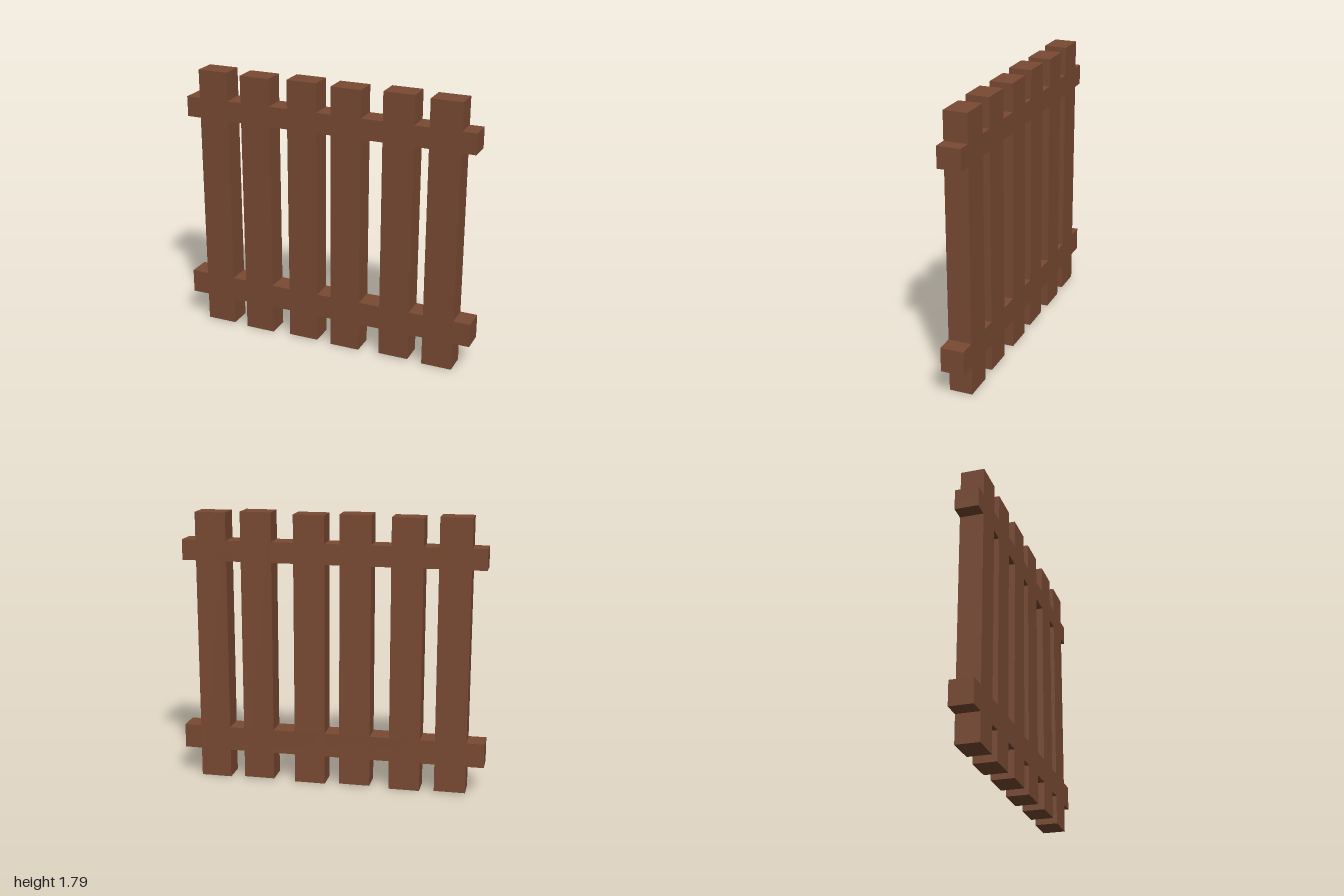
import * as THREE from 'three';

const DEPTH = 0.15;

export function createModel() {
  const fence = new THREE.Group();
  fence.name = 'fence';
  const wood = new THREE.MeshStandardMaterial({ color: 0x7a4a33 });

  // a plank centred on x, spanning bottom to top
  const plank = (name, width, bottom, top, x = 0) => {
    const mesh = new THREE.Mesh(new THREE.BoxGeometry(width, top - bottom, DEPTH), wood);
    mesh.position.set(x, (bottom + top) / 2, 0);
    mesh.name = name;
    fence.add(mesh);
  };

  // upright pickets, alternately raised a little
  [-0.784, -0.486, -0.157, 0.142, 0.488, 0.787].forEach((x, i) => {
    const lift = i % 2 === 0 ? 0.009 : 0;
    plank(`picket${i + 1}`, 0.202, lift, 1.779 + lift, x);
  });

  // horizontal rails, flush with the pickets
  plank('lowerRail', 2, 0.19, 0.348);
  plank('upperRail', 1.96, 1.466, 1.6);

  return fence;
}
